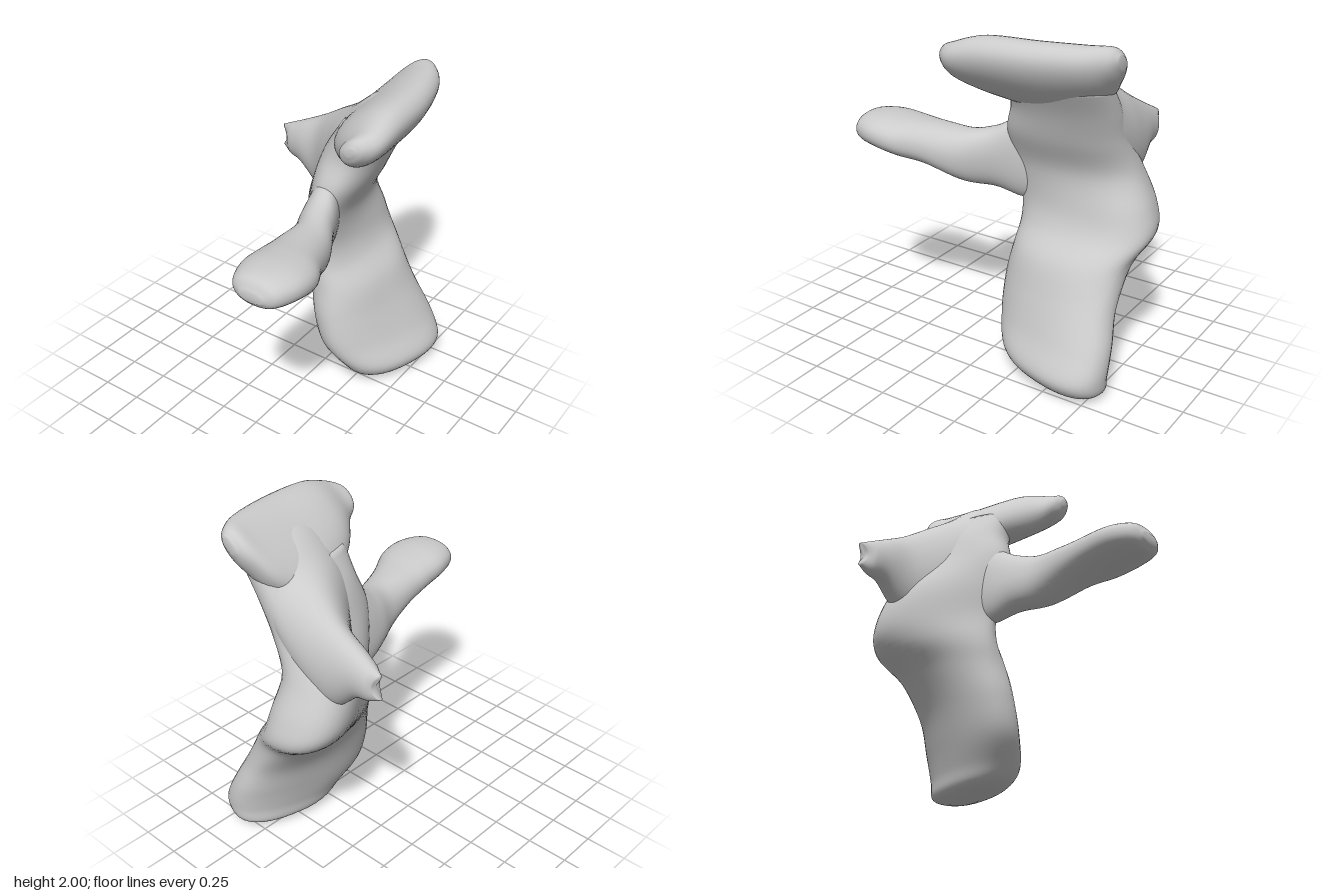
import * as THREE from 'three';

const material = new THREE.MeshStandardMaterial({ color: 0xcccccc });
const AXES = { x: [0, 1, 2], y: [1, 2, 0], z: [2, 0, 1] };

// Smooth closed loft along an axis. Row: [position, centre1, centre2, half1, half2, turn in degrees, taper].
// The two cross directions follow the axis in cyclic order (y -> z,x; z -> x,y; x -> y,z).
// Taper makes a section wedge-shaped, narrower towards its first direction.
function loft(name, axis, rows, { power = 2, notch = 0, steps = 6, sides = 40 } = {}) {
  const order = AXES[axis];
  const curve = (...columns) => new THREE.CatmullRomCurve3(
    rows.map((r) => new THREE.Vector3(...columns.map((c) => r[c] ?? 0))), false, 'catmullrom', 0.5);
  const centres = curve(0, 1, 2), sizes = curve(3, 4, 5), tapers = curve(6);
  const n = (rows.length - 1) * steps;
  const positions = [], index = [];
  const add = (t, p, q) => {
    const v = [0, 0, 0];
    [t, p, q].forEach((value, k) => { v[order[k]] = value; });
    positions.push(...v);
  };
  const round = (v) => Math.sign(v) * Math.abs(v) ** (2 / power);
  for (let i = 0; i <= n; i++) {
    const c = centres.getPoint(i / n), s = sizes.getPoint(i / n), taper = tapers.getPoint(i / n).x;
    const turn = THREE.MathUtils.degToRad(s.z), ct = Math.cos(turn), st = Math.sin(turn);
    const inset = notch * Math.max(0, 1 - i / steps);
    for (let j = 0; j < sides; j++) {
      const a = (j / sides) * Math.PI * 2, along = round(Math.cos(a));
      const p = along * s.x, q = round(Math.sin(a)) * s.y * (1 - taper * along);
      add(c.x + inset * Math.sin(a) ** 2, c.y + p * ct - q * st, c.z + p * st + q * ct);
      if (i === n) continue;
      const A = i * sides + j, B = i * sides + ((j + 1) % sides);
      index.push(A, B, B + sides, A, B + sides, A + sides);
    }
  }
  // end caps
  const first = rows[0], last = rows[rows.length - 1], cap = (n + 1) * sides;
  add(first[0] + notch, first[1], first[2]);
  add(last[0], last[1], last[2]);
  for (let j = 0; j < sides; j++) {
    const k = (j + 1) % sides;
    index.push(cap, k, j, cap + 1, n * sides + j, n * sides + k);
  }
  const geometry = new THREE.BufferGeometry();
  geometry.setAttribute('position', new THREE.Float32BufferAttribute(positions, 3));
  geometry.setIndex(index);
  geometry.computeVertexNormals();
  const mesh = new THREE.Mesh(geometry, material);
  mesh.name = name;
  return mesh;
}

export function createModel() {
  const group = new THREE.Group();
  group.name = 'boneShape';

  // Leaning blade that swells into a wedge at the back, then narrows into the neck
  group.add(loft('bladeAndNeck', 'y', [
    [0.0, -0.55, 0.34, 0.13, 0.07, -16],
    [0.04, -0.52, 0.34, 0.3, 0.16, -16],
    [0.14, -0.48, 0.345, 0.37, 0.2, -18],
    [0.3, -0.44, 0.27, 0.41, 0.19, -18],
    [0.5, -0.42, 0.19, 0.39, 0.19, -14],
    [0.7, -0.44, 0.1, 0.37, 0.21, -3, 0.1],
    [0.85, -0.48, -0.01, 0.4, 0.21, 10, 0.3],
    [1.0, -0.46, -0.04, 0.39, 0.2, 16, 0.45],
    [1.2, -0.4, -0.02, 0.37, 0.18, 18, 0.35],
    [1.4, -0.38, 0.07, 0.35, 0.18, 10, 0.1],
    [1.58, -0.41, 0.14, 0.32, 0.18, 4],
    [1.75, -0.41, 0.24, 0.32, 0.17, 0],
  ], { power: 2.3 }));

  // Tilted flange across the top
  group.add(loft('topFlange', 'z', [
    [-0.82, 0.29, 1.92, 0.05, 0.03, 40],
    [-0.77, 0.28, 1.89, 0.13, 0.085, 40],
    [-0.65, 0.27, 1.82, 0.24, 0.12, 40],
    [-0.4, 0.28, 1.77, 0.31, 0.14, 40],
    [-0.1, 0.35, 1.8, 0.25, 0.13, 40],
    [0.08, 0.425, 1.82, 0.15, 0.09, 40],
    [0.16, 0.42, 1.83, 0.09, 0.06, 40],
    [0.19, 0.42, 1.84, 0.03, 0.02, 40],
  ], { power: 2.2 }));

  // Side horn with a notched tip, ramping up into the flange
  group.add(loft('sideHorn', 'x', [
    [-0.58, 1.33, -0.61, 0.07, 0.03],
    [-0.5, 1.33, -0.6, 0.11, 0.065],
    [-0.4, 1.34, -0.59, 0.15, 0.09],
    [-0.25, 1.32, -0.58, 0.25, 0.13],
    [-0.1, 1.38, -0.53, 0.29, 0.2],
    [0.05, 1.49, -0.46, 0.28, 0.27],
    [0.2, 1.66, -0.43, 0.235, 0.28],
    [0.32, 1.79, -0.43, 0.14, 0.26],
  ], { notch: 0.04 }));

  // Forward arm with a broad flattened end
  group.add(loft('frontArm', 'z', [
    [-0.25, 0.04, 1.2, 0.06, 0.22, 0],
    [-0.1, 0.075, 1.2, 0.1, 0.25, -5],
    [0.05, 0.12, 1.19, 0.12, 0.19, -10],
    [0.2, 0.19, 1.19, 0.135, 0.16, -10],
    [0.4, 0.24, 1.24, 0.165, 0.125, 0],
    [0.55, 0.28, 1.27, 0.2, 0.115, 0],
    [0.7, 0.29, 1.29, 0.2, 0.105, 0],
    [0.83, 0.29, 1.29, 0.15, 0.085, 0],
    [0.88, 0.29, 1.28, 0.07, 0.03, 0],
  ], { power: 2.2 }));

  return group;
}
